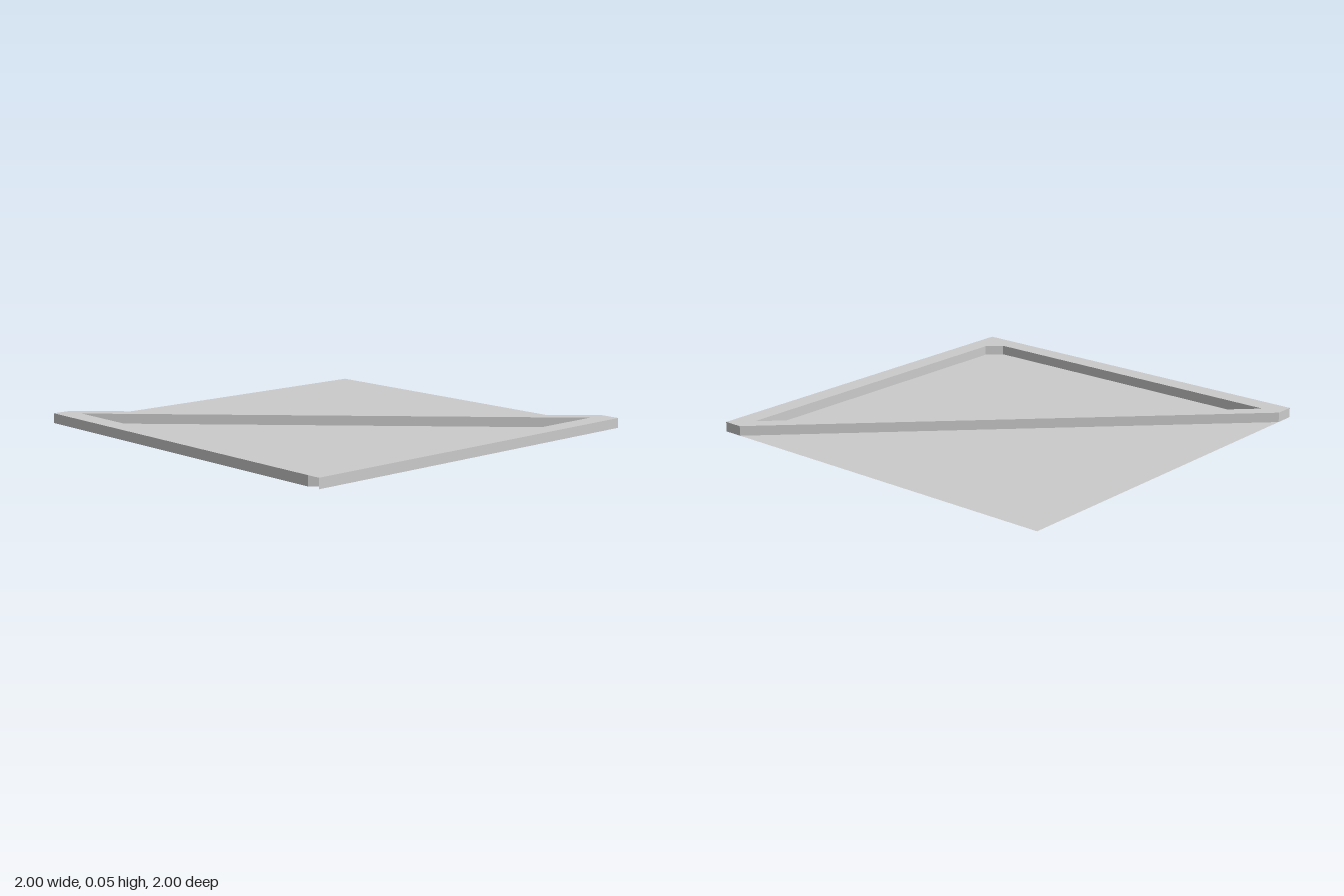
import * as THREE from 'three';

const H = 0.05;    // frame height
const CUT = 0.07;  // corner chamfer

// Outline from [x, z] points, laid flat by flat()
const points = (list) => list.map(([x, z]) => new THREE.Vector2(x, -z));
const flat = (geometry) => geometry.rotateX(-Math.PI / 2);

export function createModel() {
  const group = new THREE.Group();
  const grey = new THREE.MeshStandardMaterial({ color: 0xcccccc, flatShading: true });
  const thin = new THREE.MeshStandardMaterial({ color: 0xcccccc, flatShading: true, side: THREE.DoubleSide });
  const add = (name, geometry, material = grey) => {
    const mesh = new THREE.Mesh(geometry, material);
    mesh.name = name;
    group.add(mesh);
    return mesh;
  };

  // Thin square floor with one clipped corner
  const floor = new THREE.Shape(points([[-1, 1], [1 - CUT, 1], [1, 1 - CUT], [1, -1], [-1, -1]]));
  add('floor', flat(new THREE.ShapeGeometry(floor)), thin);

  // Raised triangular frame around an open triangular recess
  const outline = new THREE.Shape(points([
    [-1, 0.9], [-1, 1], [1 - CUT, 1], [1, 1 - CUT], [1, -1], [0.9, -1],
  ]));
  outline.holes.push(new THREE.Path(points([
    [-0.9, 0.9], [0.9, -0.9], [0.9, 0.9 - CUT], [0.9 - CUT, 0.9],
  ])));
  add('triangularFrame', flat(new THREE.ExtrudeGeometry(outline, { depth: H, bevelEnabled: false })));

  // Thin lip over the clipped corner: top and side skin
  const lip = new THREE.Shape(points([[1 - CUT, 1], [1, 1], [1, 1 - CUT]]));
  add('cornerLipTop', flat(new THREE.ShapeGeometry(lip))).position.y = H;
  add('cornerLipSide', new THREE.PlaneGeometry(CUT, H).rotateY(Math.PI / 2))
    .position.set(1, H / 2, 1 - CUT / 2);

  return group;
}
